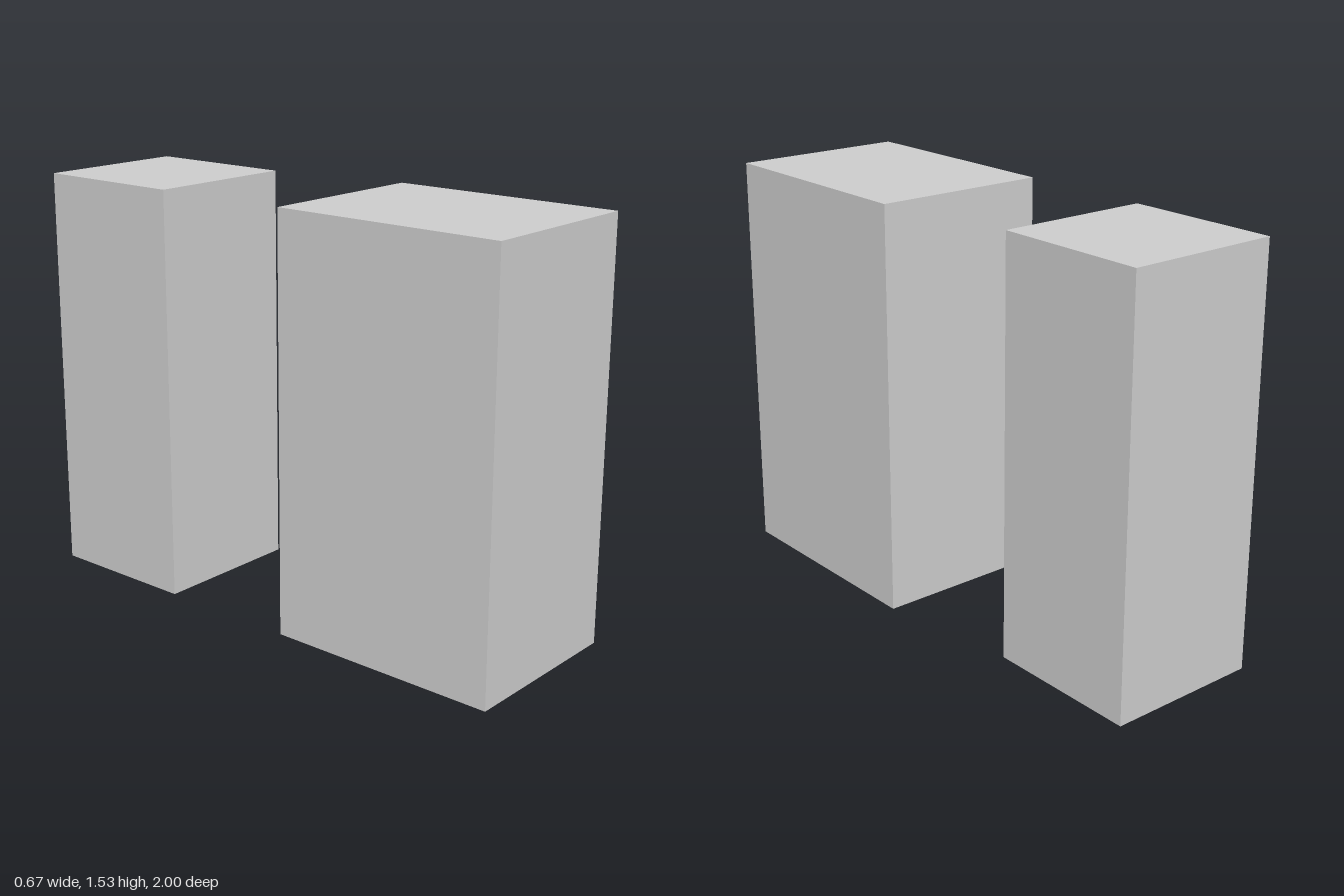
import * as THREE from 'three';

const HEIGHT = 1.53;

// Upright block standing on the ground, given by its extents in x and z
function block(name, x0, x1, z0, z1, material) {
  const mesh = new THREE.Mesh(new THREE.BoxGeometry(x1 - x0, HEIGHT, z1 - z0), material);
  mesh.name = name;
  mesh.position.set((x0 + x1) / 2, HEIGHT / 2, (z0 + z1) / 2);
  return mesh;
}

export function createModel() {
  const model = new THREE.Group();
  model.name = 'blockPair';
  const grey = new THREE.MeshStandardMaterial({ color: 0xcccccc, flatShading: true });

  // Larger block in front, smaller one behind, flush on the right side
  model.add(block('frontBlock', -0.333, 0.333, 0.118, 1, grey));
  model.add(block('backBlock', -0.333, 0.25, -1, -0.417, grey));
  return model;
}
